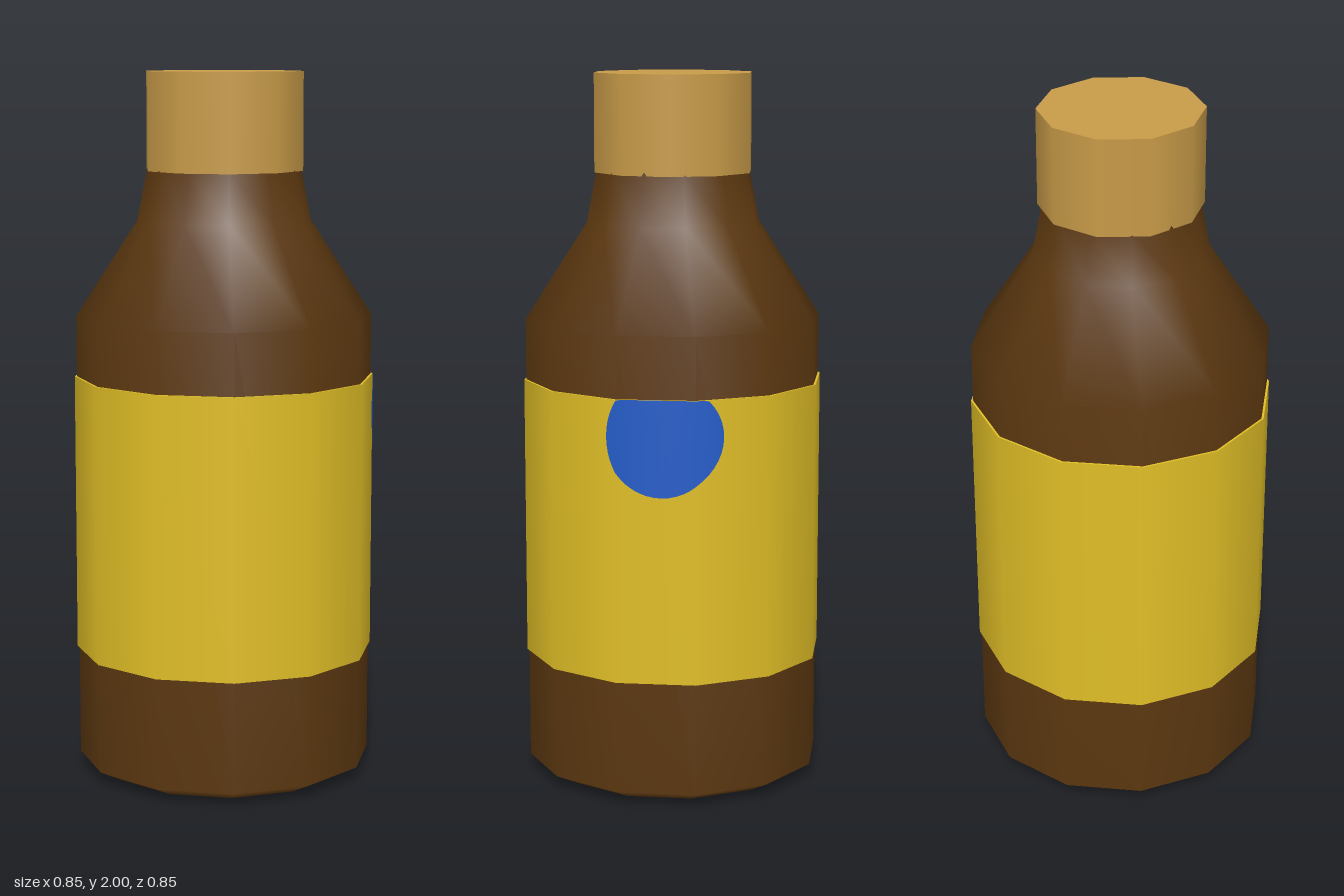
import * as THREE from 'three';

const SIDES = 12;

function material(name, color, side = THREE.FrontSide) {
  const m = new THREE.MeshStandardMaterial({ color, side });
  m.name = name;
  return m;
}

function addMesh(group, name, geometry, mat) {
  const mesh = new THREE.Mesh(geometry, mat);
  mesh.name = name;
  group.add(mesh);
  return mesh;
}

const lathe = (profile) =>
  new THREE.LatheGeometry(profile.map(([r, y]) => new THREE.Vector2(r, y)), SIDES);

// x of the +x side of a twelve-sided prism at a given z
function prismX(z, radius) {
  const step = (Math.PI * 2) / SIDES;
  const a = Math.asin(Math.min(1, Math.abs(z) / radius));
  const mid = (Math.floor(a / step) + 0.5) * step;
  return (radius * Math.cos(step / 2) - Math.abs(z) * Math.sin(mid)) / Math.cos(mid);
}

// Oval wrapped onto the label in vertical slices and cut off at its top edge
function spotGeometry(radius, top) {
  const cz = -0.122, cy = 1.04, rz = 0.15, ry = 0.165;
  const slices = [0, -radius / 2];
  for (let i = 0; i <= 24; i++) slices.push(cz + rz * Math.cos((i / 24) * Math.PI));
  slices.sort((a, b) => b - a);
  const positions = [], normals = [], index = [];
  slices.forEach((z, i) => {
    const h = ry * Math.sqrt(Math.max(0, 1 - ((z - cz) / rz) ** 2));
    const x = prismX(z, radius);
    const len = Math.hypot(x, z);
    for (const y of [cy - h, Math.min(top, cy + h)]) {
      positions.push(x, y, z);
      normals.push(x / len, 0, z / len);
    }
    if (i > 0) {
      const a = 2 * i - 2;
      index.push(a, a + 2, a + 3, a, a + 3, a + 1);
    }
  });
  const g = new THREE.BufferGeometry();
  g.setAttribute('position', new THREE.Float32BufferAttribute(positions, 3));
  g.setAttribute('normal', new THREE.Float32BufferAttribute(normals, 3));
  g.setIndex(index);
  return g;
}

export function createModel() {
  const group = new THREE.Group();
  group.name = 'bottle';
  const glass = material('brown glass', 0x5c3810);
  const paper = material('yellow label', 0xe0be26);
  const blue = material('blue spot', 0x235cc8, THREE.DoubleSide);
  const tan = material('tan cap', 0xc89b48);

  // Bottle body: chamfered foot, straight wall, shoulder and neck
  addMesh(group, 'body', lathe([
    [0.345, 0], [0.42, 0.037], [0.42, 1.315], [0.245, 1.585], [0.216, 1.735],
  ]), glass);

  // Flat underside
  const base = new THREE.CircleGeometry(0.345, SIDES);
  base.rotateX(Math.PI / 2);
  addMesh(group, 'base', base, glass);

  // Label sleeve with thin rims
  const labelBottom = 0.353, labelTop = 1.143, labelRadius = 0.426;
  addMesh(group, 'label', lathe([[labelRadius, labelBottom], [labelRadius, labelTop]]), paper);
  addMesh(group, 'labelTopRim', lathe([[labelRadius, labelTop], [0.418, labelTop]]), paper);
  addMesh(group, 'labelBottomRim', lathe([[0.418, labelBottom], [labelRadius, labelBottom]]), paper);

  // Spot on the left side of the label
  addMesh(group, 'labelSpot', spotGeometry(labelRadius + 0.002, labelTop), blue);

  // Ten-sided cap
  const cap = new THREE.CylinderGeometry(0.227, 0.227, 0.275, 10);
  cap.translate(0, 1.8625, 0);
  addMesh(group, 'cap', cap, tan);

  return group;
}
